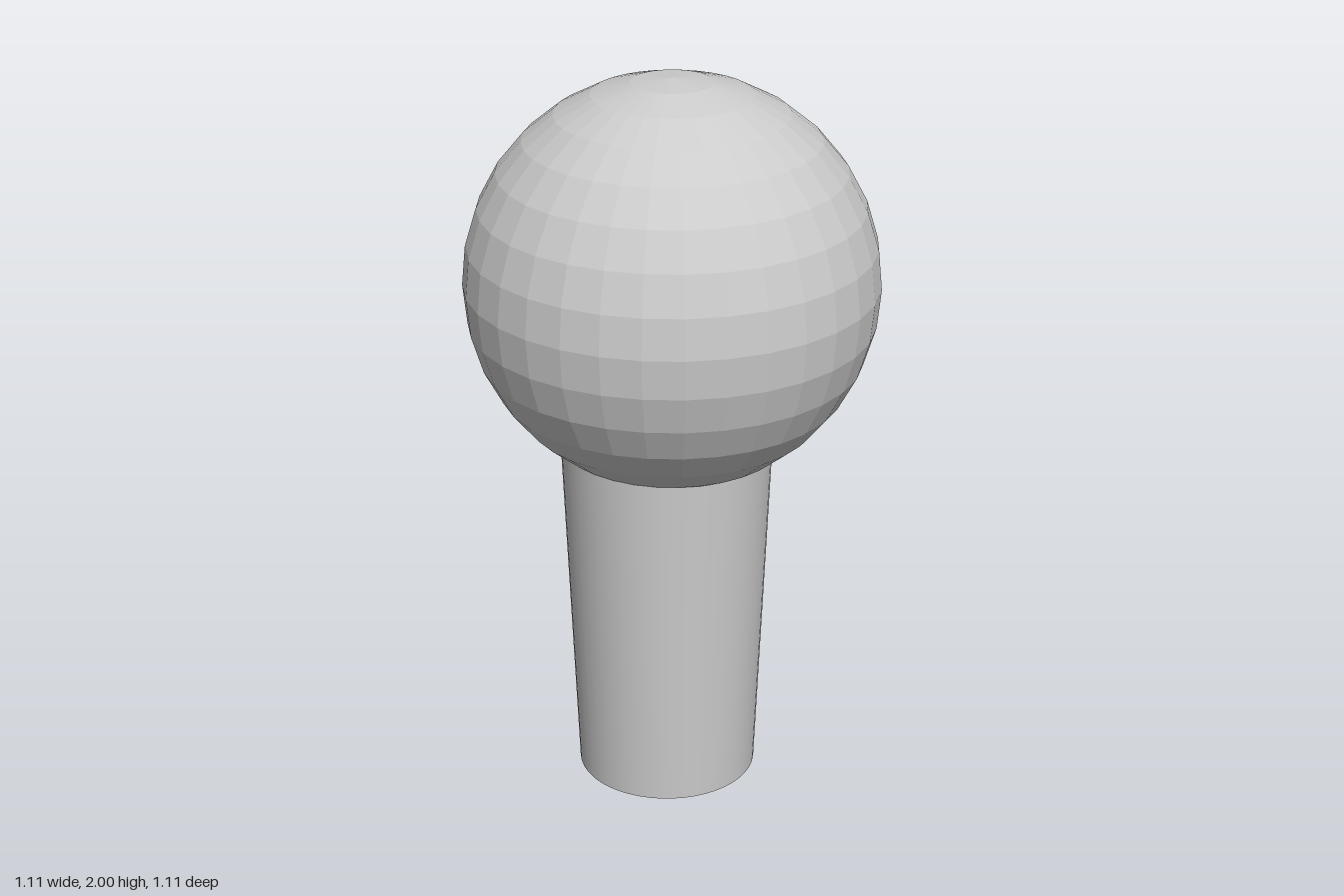
import * as THREE from 'three';

const R = 0.555, CENTRE_Y = 2 - R, STEP = Math.PI / 16, FLOOR = 0.883;

// Grid cells sunk into the ball: column i counts around from the back, row j up from the equator
function isSunk(i, j) {
  const m = i < 0 ? -1 - i : i; // mirrored column
  const eye = (j === 0 || j === 1) && (m === 1 || m === 2);
  const mouth = (j === -2 && m < 3) || (j === -3 && m < 2);
  return eye || mouth;
}

function ballPoint(i, j, scale) {
  const u = i * STEP, v = j * STEP, r = R * scale;
  return new THREE.Vector3(r * Math.cos(v) * Math.sin(u), r * Math.sin(v), -r * Math.cos(v) * Math.cos(u));
}

function ballGeometry() {
  const points = [];
  const tri = (a, b, c) => {
    const same = (p, q) => p.distanceTo(q) < 1e-6;
    if (!same(a, b) && !same(b, c) && !same(c, a)) points.push(a, b, c);
  };
  const quad = (a, b, c, d) => { tri(a, b, c); tri(a, c, d); };

  for (let j = -8; j < 8; j++) {
    for (let i = -16; i < 16; i++) {
      const sunk = isSunk(i, j);
      const corners = [[i, j], [i, j + 1], [i + 1, j + 1], [i + 1, j]];
      const outer = corners.map(([a, b]) => ballPoint(a, b, 1));
      if (!sunk) { quad(...outer); continue; }

      // Recess floor, with walls wherever the neighbouring cell is not sunk
      const inner = corners.map(([a, b]) => ballPoint(a, b, FLOOR));
      quad(...inner);
      [[-1, 0], [0, 1], [1, 0], [0, -1]].forEach(([di, dj], k) => {
        if (isSunk(i + di, j + dj)) return;
        const n = (k + 1) % 4;
        quad(inner[n], inner[k], outer[k], outer[n]);
      });
    }
  }
  const geometry = new THREE.BufferGeometry().setFromPoints(points);
  geometry.computeVertexNormals();
  return geometry;
}

export function createModel() {
  const group = new THREE.Group();
  group.name = 'ballHeadFigure';

  // Faceted ball with sunken eyes and mouth at the back
  const head = new THREE.Mesh(ballGeometry(),
    new THREE.MeshStandardMaterial({ color: 0xcccccc, flatShading: true }));
  head.name = 'head';
  head.position.y = CENTRE_Y;
  group.add(head);

  // Smooth tapered stem, running up inside the ball
  const height = 1.1;
  const stem = new THREE.Mesh(new THREE.CylinderGeometry(0.2925, 0.2475, height, 48),
    new THREE.MeshStandardMaterial({ color: 0xcccccc }));
  stem.name = 'stem';
  stem.position.set(0, height / 2, 0.0225);
  group.add(stem);

  return group;
}
